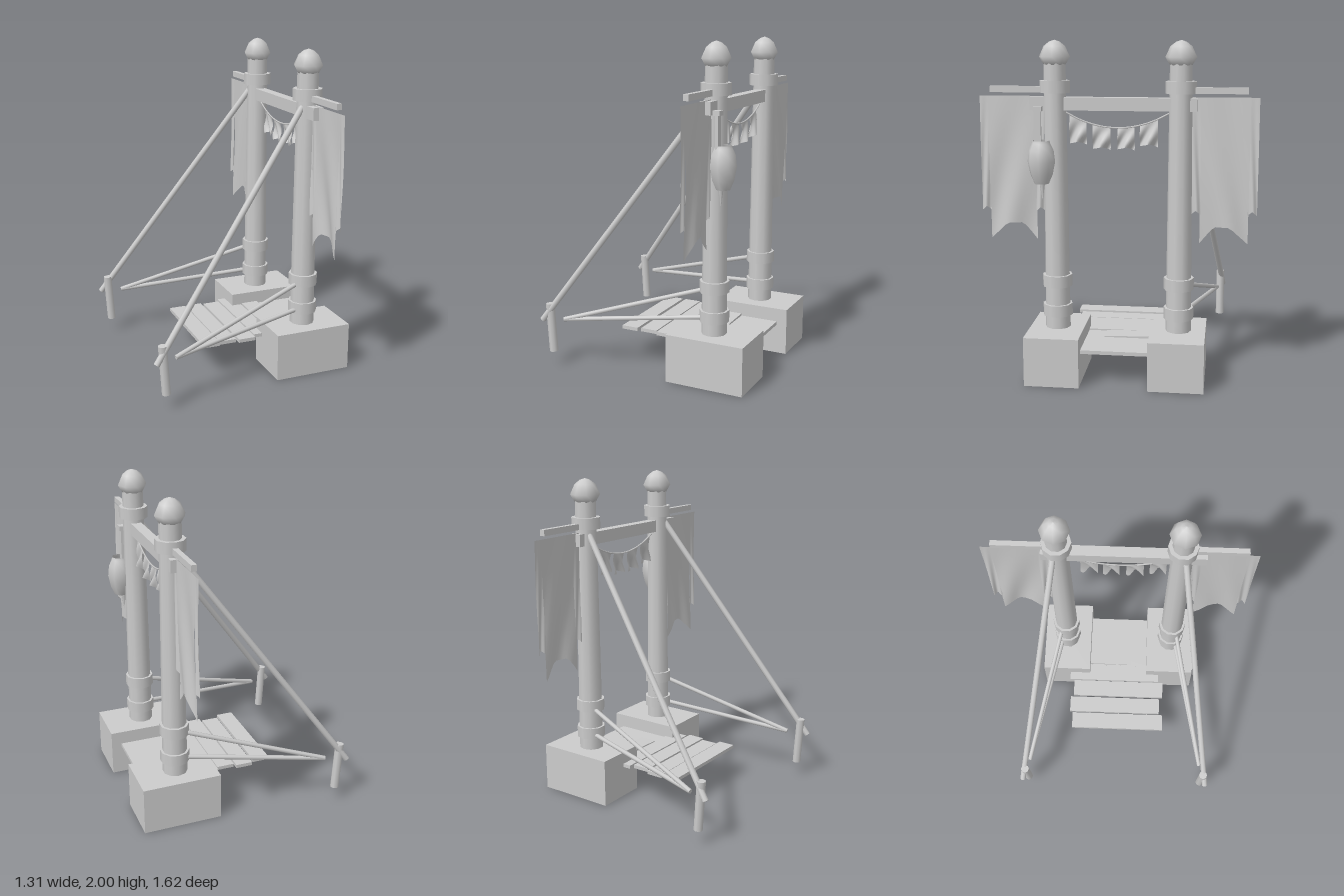
import * as THREE from 'three';

const mat = new THREE.MeshStandardMaterial({ color: 0xcccccc });
const flat = new THREE.MeshStandardMaterial({ color: 0xcccccc, flatShading: true });
const thin = new THREE.MeshStandardMaterial({ color: 0xcccccc, side: THREE.DoubleSide });
const PX = 0.405, PZ = 0.363; // post position

export function createModel() {
  const root = new THREE.Group();
  root.name = 'gateway';

  const add = (name, geo, m = mat, parent = root) => {
    const mesh = new THREE.Mesh(geo, m);
    mesh.name = name;
    parent.add(mesh);
    return mesh;
  };

  // Box given by its min and max corners
  const box = (name, a, b, parent = root) => {
    const mesh = add(name, new THREE.BoxGeometry(b[0] - a[0], b[1] - a[1], b[2] - a[2]), flat, parent);
    mesh.position.set((a[0] + b[0]) / 2, (a[1] + b[1]) / 2, (a[2] + b[2]) / 2);
    return mesh;
  };

  // Round pole between two points
  const pole = (name, a, b, r, parent = root, sides = 8) => {
    const p = new THREE.Vector3(...a), q = new THREE.Vector3(...b);
    const dir = q.clone().sub(p);
    const mesh = add(name, new THREE.CylinderGeometry(r, r, dir.length(), sides), mat, parent);
    mesh.position.copy(p).add(q).multiplyScalar(0.5);
    mesh.quaternion.setFromUnitVectors(new THREE.Vector3(0, 1, 0), dir.normalize());
    return mesh;
  };

  // Piecewise linear lookup in [t, value] pairs
  const along = (pts, t) => {
    let i = 1;
    while (i < pts.length - 1 && t > pts[i][0]) i++;
    const [t0, v0] = pts[i - 1], [t1, v1] = pts[i];
    return v0 + (v1 - v0) * (t - t0) / (t1 - t0);
  };

  // Hanging cloth from z0 to z1 with a cut lower hem and a gentle ripple
  const cloth = (name, z0, z1, top, hem, ripple, parent = root) => {
    const geo = new THREE.PlaneGeometry(1, 1, 12, 8);
    const p = geo.attributes.position;
    for (let i = 0; i < p.count; i++) {
      const u = p.getX(i) + 0.5, drop = 0.5 - p.getY(i);
      const yTop = along(top, u), yHem = along(hem, u);
      const x = PX + ripple * drop * (0.6 + Math.sin(u * 7 + drop * 5));
      p.setXYZ(i, x, yTop + (yHem - yTop) * drop, z0 + (z1 - z0) * u);
    }
    geo.computeVertexNormals();
    return add(name, geo, thin, parent);
  };

  // Both sides: plinth, post, bands, finial, stays and banner
  for (const s of [1, -1]) {
    const side = new THREE.Group();
    side.name = s > 0 ? 'frontSide' : 'backSide';
    root.add(side);

    const plinth = add('plinth', new THREE.BoxGeometry(0.49, 0.295, 0.325), flat, side);
    plinth.position.set(0.41, 0.1475, s * PZ);

    const post = add('post', new THREE.CylinderGeometry(0.064, 0.076, 1.6, 10), mat, side);
    post.position.set(PX, 1.08, s * PZ);

    for (const y of [0.405, 0.585, 1.735]) {
      const band = add('band', new THREE.CylinderGeometry(0.089, 0.089, 0.07, 10), mat, side);
      band.position.set(PX, y, s * PZ);
    }

    const profile = [[0, 1.86], [0.064, 1.86], [0.09, 1.905], [0.062, 1.965], [0.03, 1.99], [0, 2]];
    const finial = add('finial', new THREE.LatheGeometry(profile.map(q => new THREE.Vector2(...q)), 8), mat, side);
    finial.position.set(PX, 0, s * PZ);

    // Long stay tied to a stake, with two low braces
    pole('stay', [0.38, 1.69, s * 0.38], [-0.64, 0.29, s * 0.62], 0.019, side);
    pole('stake', [-0.597, 0.395, s * 0.6], [-0.578, 0.09, s * 0.6], 0.027, side);
    pole('lowerBrace', [0.37, 0.395, s * 0.39], [-0.51, 0.3, s * 0.58], 0.014, side);
    pole('upperBrace', [0.37, 0.57, s * 0.39], [-0.51, 0.3, s * 0.58], 0.014, side);

    // Banner with a narrow ribbon at each edge
    const rod = add('bannerRod', new THREE.BoxGeometry(0.032, 0.036, 0.385), flat, side);
    rod.position.set(PX, 1.718, s * 0.552);
    const level = [[0, 1.68], [1, 1.68]];
    const ribbonHem = [[0, 1.0], [0.5, 1.025], [1, 1.0]];
    cloth('banner', s * 0.76, s * 0.48, level, [[0, 0.83], [0.38, 0.93], [0.7, 0.93], [1, 0.83]], 0.014, side);
    cloth('outerRibbon', s * 0.81, s * 0.755, level, ribbonHem, 0.008, side);
    cloth('innerRibbon', s * 0.485, s * 0.43, level, ribbonHem, 0.008, side);
  }

  box('crossbeam', [0.372, 1.6, -0.46], [0.438, 1.675, 0.508]);

  // Sagging line of small flags
  const sag = z => 1.5 + 0.09 * (z / 0.305) ** 2;
  const line = [];
  for (let i = 0; i <= 8; i++) {
    const z = -0.305 + i * 0.07625;
    line.push(new THREE.Vector3(PX, sag(z), z));
  }
  add('buntingLine', new THREE.TubeGeometry(new THREE.CatmullRomCurve3(line), 24, 0.005, 5));
  for (const [a, b, low] of [[0.28, 0.18, 1.4], [0.145, 0.04, 1.37], [0, -0.1, 1.37], [-0.13, -0.235, 1.39]]) {
    const hem = [[0, low + 0.005], [0.5, low + 0.02], [1, low]];
    cloth('flag', a, b, [[0, sag(a)], [1, sag(b)]], hem, 0.02);
  }

  // Hanging lantern on its bracket
  const lantern = new THREE.Group();
  lantern.name = 'lantern';
  root.add(lantern);
  const LX = 0.485, LZ = 0.433;
  const body = [[0.042, 1.18], [0.066, 1.235], [0.081, 1.31], [0.073, 1.375], [0.054, 1.415], [0.05, 1.43]];
  const shell = add('lanternBody', new THREE.LatheGeometry(body.map(q => new THREE.Vector2(...q)), 8), thin, lantern);
  shell.position.set(LX, 0, LZ);
  const floor = add('lanternBase', new THREE.CylinderGeometry(0.042, 0.042, 0.012, 8), mat, lantern);
  floor.position.set(LX, 1.186, LZ);
  const tassel = add('tassel', new THREE.ConeGeometry(0.018, 0.12, 6), mat, lantern);
  tassel.rotation.x = Math.PI;
  tassel.position.set(0.47, 1.13, LZ);
  box('bracket', [0.38, 1.597, 0.43], [0.48, 1.625, 0.48], lantern);
  box('hanger', [0.452, 1.4, 0.437], [0.47, 1.61, 0.478], lantern);

  // Plank walkway: [x0, x1, z0, z1, top]
  const planks = [
    [-0.245, -0.137, -0.31, 0.325, 0.22],
    [-0.125, -0.017, -0.33, 0.3, 0.213],
    [-0.005, 0.105, -0.31, 0.322, 0.215],
    [0.112, 0.225, -0.34, 0.29, 0.218],
    [0.228, 0.348, -0.22, 0.22, 0.21],
    [0.348, 0.468, -0.22, 0.22, 0.21],
    [0.468, 0.59, -0.22, 0.22, 0.21],
  ];
  for (const [x0, x1, z0, z1, top] of planks) box('plank', [x0, top - 0.022, z0], [x1, top, z1]);
  const loose = box('loosePlank', [0.235, 0.205, -0.2], [0.345, 0.22, 0.09]);
  loose.rotation.x = 0.03;

  return root;
}
